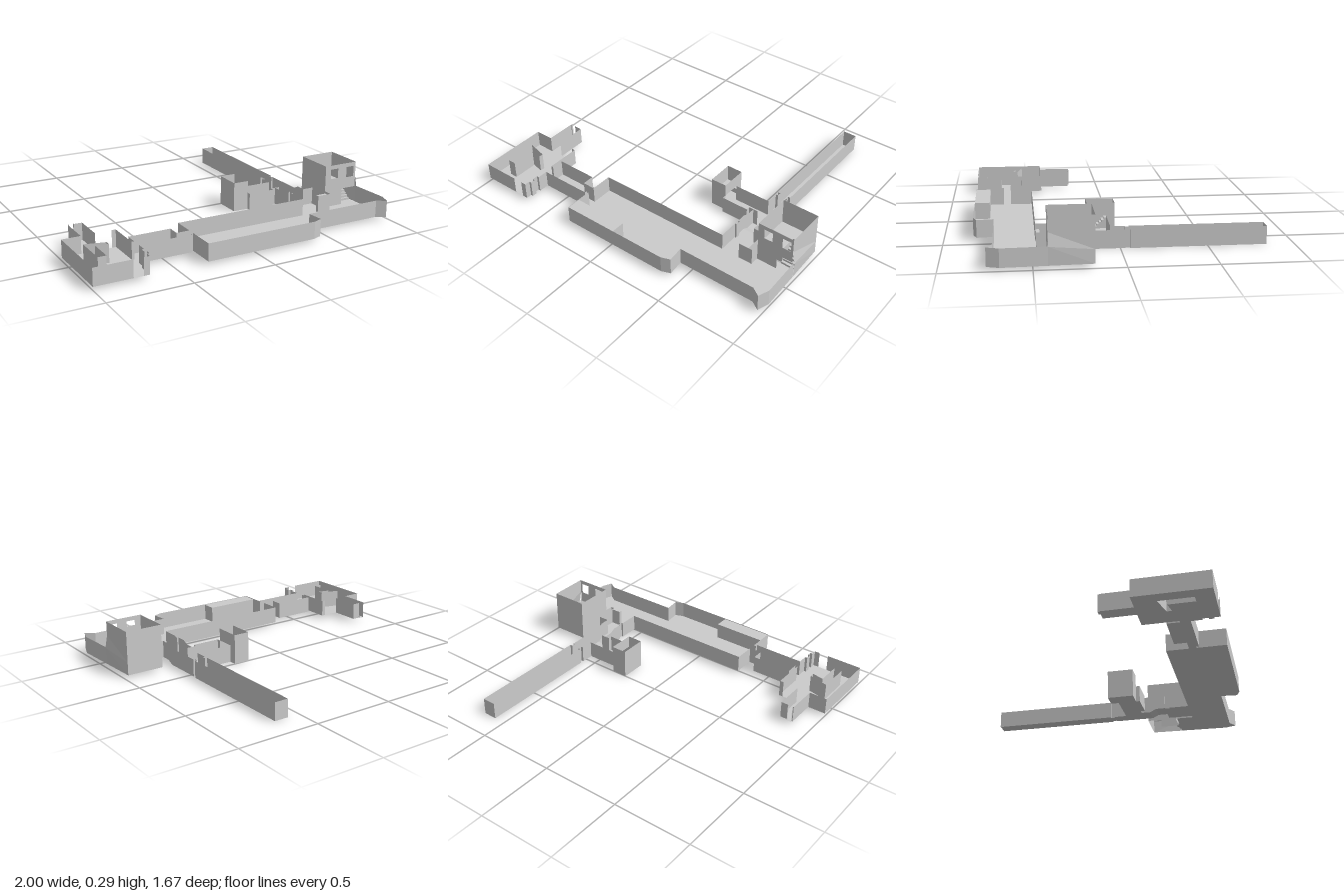
import * as THREE from 'three';

const material = new THREE.MeshStandardMaterial({ color: 0xcccccc, flatShading: true, side: THREE.DoubleSide });

// Flat four-cornered panels collected in one mesh
function panels(name, quads) {
  const positions = [];
  for (const [a, b, c, d] of quads) positions.push(...a, ...b, ...c, ...a, ...c, ...d);
  const geo = new THREE.BufferGeometry();
  geo.setAttribute('position', new THREE.Float32BufferAttribute(positions, 3));
  geo.computeVertexNormals();
  const mesh = new THREE.Mesh(geo, material);
  mesh.name = name;
  return mesh;
}

const wall = ([x1, z1], [x2, z2], y0, y1) => [[x1, y0, z1], [x2, y0, z2], [x2, y1, z2], [x1, y1, z1]];
const slab = (x1, x2, z1, z2, y) => [[x1, y, z2], [x2, y, z2], [x2, y, z1], [x1, y, z1]];

function box(name, x1, x2, y1, y2, z1, z2) {
  const mesh = new THREE.Mesh(new THREE.BoxGeometry(x2 - x1, y2 - y1, z2 - z1), material);
  mesh.position.set((x1 + x2) / 2, (y1 + y2) / 2, (z1 + z2) / 2);
  mesh.name = name;
  return mesh;
}

// Floor plan of [x, z, open]: a wall rises on each edge unless the edge is marked open
function room(name, plan, y0, y1, hole) {
  const group = new THREE.Group();
  group.name = name;
  const toPlan = ([x, z]) => new THREE.Vector2(x, -z);
  const shape = new THREE.Shape(plan.map(toPlan));
  if (hole) shape.holes.push(new THREE.Path(hole.map(toPlan)));
  const floor = new THREE.Mesh(new THREE.ShapeGeometry(shape), material);
  floor.rotation.x = -Math.PI / 2;
  floor.position.y = y0;
  floor.name = name + 'Floor';
  const quads = [];
  plan.forEach((p, i) => {
    if (!p[2]) quads.push(wall(p, plan[(i + 1) % plan.length], y0, y1));
  });
  if (hole) hole.forEach((p, i) => quads.push(wall(p, hole[(i + 1) % hole.length], y0, y1 + 0.004)));
  group.add(floor, panels(name + 'Walls', quads));
  return group;
}

// Treads and risers climbing towards -z
function stairs(name, x1, x2, zStart, zEnd, y0, y1, count) {
  const quads = [];
  const dz = (zStart - zEnd) / count, dy = (y1 - y0) / count;
  for (let i = 0; i < count; i++) {
    const z = zStart - i * dz, y = y0 + i * dy;
    quads.push(wall([x1, z], [x2, z], y, y + dy), slab(x1, x2, z - dz, z, y + dy));
  }
  return panels(name, quads);
}

function createTower() {
  const group = new THREE.Group();
  group.name = 'tower';
  const top = 0.288;
  // Front wall with two windows and the stair opening
  const rect = (x1, x2, y1, y2) => [[x1, y1], [x2, y1], [x2, y2], [x1, y2]].map(p => new THREE.Vector2(...p));
  const front = new THREE.Shape([[0.75, 0.02], [0.88, 0.02], [0.88, 0.125], [0.98, 0.125], [0.98, top], [0.75, top]]
    .map(p => new THREE.Vector2(...p)));
  front.holes.push(new THREE.Path(rect(0.79, 0.845, 0.2, 0.262)), new THREE.Path(rect(0.91, 0.965, 0.195, 0.262)));
  const frontWall = new THREE.Mesh(new THREE.ShapeGeometry(front), material);
  frontWall.position.z = 0.42;
  frontWall.name = 'towerFrontWall';
  group.add(frontWall);
  // Remaining walls; the right one flares out towards its foot
  group.add(panels('towerWalls', [
    wall([0.75, 0.42], [0.75, 0.17], 0.02, top),
    wall([0.75, 0.17], [0.98, 0.17], 0.02, top),
    wall([0.98, 0.17], [0.98, 0.42], 0.2, top),
    [[0.98, 0.1, 0.17], [0.995, 0.125, 0.42], [0.98, 0.2, 0.42], [0.98, 0.2, 0.17]],
    [[0.98, 0.02, 0.17], [0.99, 0.02, 0.42], [0.995, 0.125, 0.42], [0.98, 0.1, 0.17]],
  ]));
  // Stair flight and landings
  group.add(stairs('towerStairs', 0.88, 0.98, 0.37, 0.24, 0.02, 0.125, 8));
  group.add(panels('towerLandings', [
    slab(0.75, 0.98, 0.17, 0.24, 0.125),
    slab(0.75, 0.88, 0.24, 0.36, 0.125),
    wall([0.88, 0.24], [0.88, 0.36], 0.02, 0.125),
    wall([0.75, 0.36], [0.88, 0.36], 0.02, 0.125),
    slab(0.75, 0.985, 0.37, 0.42, 0.02),
  ]));
  return group;
}

export function createModel() {
  const model = new THREE.Group();
  model.name = 'buildingInterior';
  const low = [0, 0.107], high = [0.02, 0.126];

  // West room with a walled shaft and a rear annex
  model.add(room('westRoom', [
    [-1, 0.835], [-0.77, 0.835, 1], [-0.71, 0.835], [-0.675, 0.835], [-0.675, 0.8],
    [-0.66, 0.8], [-0.66, 0.77], [-0.675, 0.77], [-0.675, 0.735], [-0.66, 0.735], [-0.66, 0.67, 1],
    [-0.66, 0.61], [-0.675, 0.61], [-0.675, 0.4], [-0.7, 0.4, 1], [-0.8, 0.4],
    [-0.8, 0.21], [-0.85, 0.21], [-0.85, 0.2, 1], [-0.88, 0.2], [-0.88, 0.21], [-0.885, 0.21],
    [-0.885, 0.4], [-1, 0.4],
  ], ...high, [[-0.925, 0.53], [-0.8, 0.56], [-0.8, 0.59], [-0.875, 0.575], [-0.875, 0.73], [-0.925, 0.73]]));

  // Passage between the west room and the hall
  model.add(room('westPassage', [
    [-0.66, 0.535], [-0.66, 0.61, 1], [-0.66, 0.67], [-0.335, 0.67], [-0.335, 0.655], [-0.32, 0.655, 1],
    [-0.32, 0.61], [-0.4, 0.61], [-0.4, 0.535],
  ], ...high));

  // Main hall with a raised ledge along the front wall
  model.add(room('mainHall', [
    [-0.32, 0.83], [0.38, 0.83], [0.435, 0.81], [0.425, 0.71], [0.92, 0.71], [0.975, 0.745], [1, 0.675],
    [0.99, 0.42, 1], [0.75, 0.42], [0.75, 0.475], [0.66, 0.475, 1], [0.545, 0.475], [-0.32, 0.475],
    [-0.32, 0.61, 1], [-0.32, 0.655],
  ], ...high));
  model.add(box('hallLedge', -0.32, 0.025, 0.02, 0.122, 0.74, 0.83));
  model.add(box('entryPier', 0.66, 0.725, 0.02, 0.126, 0.455, 0.475));

  // Entry lobby and the ramp down
  model.add(room('entryLobby', [
    [0.545, 0.475, 1], [0.66, 0.475], [0.725, 0.475], [0.725, 0.32], [0.655, 0.32], [0.655, 0.26, 1],
    [0.545, 0.26], [0.545, 0.32], [0.555, 0.32], [0.555, 0.35], [0.545, 0.35],
  ], ...high));
  const rampSide = x => [[x, 0.02, 0.26], [x, 0, 0.22], [x, 0.107, 0.22], [x, 0.126, 0.26]];
  model.add(panels('ramp', [
    [[0.545, 0.02, 0.26], [0.655, 0.02, 0.26], [0.655, 0, 0.22], [0.545, 0, 0.22]],
    rampSide(0.545), rampSide(0.655),
  ]));

  // Lower passage, side branch and long rear corridor
  model.add(room('lowerPassage', [
    [0.655, 0.22], [0.655, -0.03], [0.645, -0.03], [0.645, -0.055, 1], [0.59, -0.055], [0.59, -0.03],
    [0.575, -0.03], [0.575, 0.05, 1], [0.575, 0.165], [0.545, 0.165], [0.545, 0.22, 1],
  ], ...low));
  model.add(room('sideBranch', [
    [0.34, 0.05], [0.575, 0.05, 1], [0.575, 0.165], [0.515, 0.165], [0.515, 0.19], [0.34, 0.19], [0.34, 0.165, 1],
  ], ...low));
  model.add(room('rearCorridor', [
    [0.575, -0.84], [0.66, -0.84], [0.66, -0.055], [0.645, -0.055, 1], [0.59, -0.055], [0.575, -0.055],
  ], ...low));

  // Small stairwell at the end of the side branch
  model.add(room('stairwell', [[0.24, 0], [0.34, 0], [0.34, 0.05, 1], [0.34, 0.165], [0.24, 0.165]], 0, 0.185));
  model.add(panels('stairwellLintel', [wall([0.34, 0.05], [0.34, 0.165], 0.107, 0.185)]));
  model.add(stairs('stairwellSteps', 0.24, 0.29, 0.13, 0.045, 0, 0.08, 6));
  model.add(panels('stairwellLanding', [slab(0.24, 0.34, 0, 0.045, 0.08)]));

  model.add(createTower());
  return model;
}
